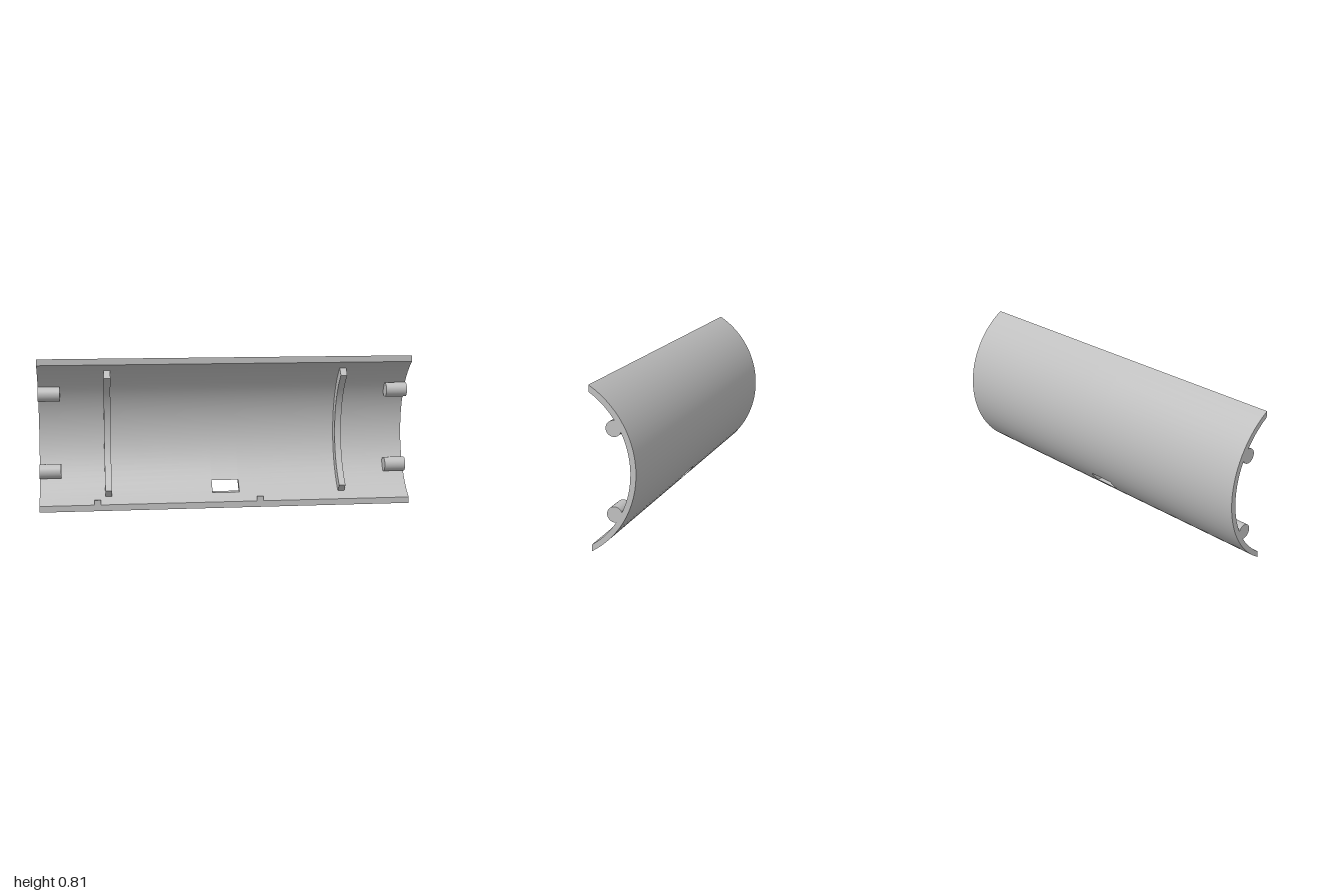
import * as THREE from 'three';
import { toCreasedNormals } from 'three/addons/utils/BufferGeometryUtils.js';

// Shared arc: its axis runs along x
const CY = 0.4055, CZ = 0.3575, FRONT_Z = 0.115;
const R_OUT = 0.4725, R_IN = 0.4445, R_RIB = 0.3945;
const HOLE = { x0: -0.075, x1: 0.071, y0: 0.073, y1: 0.131 };

// Points along one arc of the shell, with rows exactly on the window's edges
function arcRows(r) {
  const end = Math.acos((CZ - FRONT_Z) / r);
  const breaks = [-end, Math.asin((HOLE.y0 - CY) / r), Math.asin((HOLE.y1 - CY) / r), end];
  const counts = [4, 2, 22];
  const rows = [];
  counts.forEach((n, s) => {
    for (let i = 0; i < n; i++) rows.push(THREE.MathUtils.lerp(breaks[s], breaks[s + 1], i / n));
  });
  rows.push(end);
  return rows.map((a) => ({
    y: CY + r * Math.sin(a), z: CZ - r * Math.cos(a),
    n: new THREE.Vector3(0, Math.sin(a), -Math.cos(a)),
  }));
}

// Curved shell with a rectangular window cut straight through along z
function shellGeometry() {
  const pos = [], nor = [];
  const at = (x, p) => new THREE.Vector3(x, p.y, p.z);
  // Four corners in loop order; the winding follows the normals
  const quad = (p, n) => {
    const face = p[1].clone().sub(p[0]).cross(p[2].clone().sub(p[0]));
    const order = face.dot(n[0]) > 0 ? [0, 1, 2, 0, 2, 3] : [0, 2, 1, 0, 3, 2];
    for (const i of order) {
      pos.push(...p[i].toArray());
      nor.push(...n[i].toArray());
    }
  };
  const flat = (p, x, y, z) => quad(p, Array(4).fill(new THREE.Vector3(x, y, z)));

  const outer = arcRows(R_OUT), inner = arcRows(R_IN);
  const xs = [-1, HOLE.x0, HOLE.x1, 1], last = outer.length - 1;
  const holeStart = 4, holeEnd = 6;

  for (let i = 0; i < last; i++) {
    const inHole = i >= holeStart && i < holeEnd;
    // Outer and inner skins
    for (const [rows, sign] of [[outer, 1], [inner, -1]]) {
      const a = rows[i], b = rows[i + 1];
      const na = a.n.clone().multiplyScalar(sign), nb = b.n.clone().multiplyScalar(sign);
      for (let c = 0; c < 3; c++) {
        if (inHole && c === 1) continue;
        quad([at(xs[c], a), at(xs[c + 1], a), at(xs[c + 1], b), at(xs[c], b)], [na, na, nb, nb]);
      }
    }
    // End faces and the window's side walls
    const section = (x, nx) =>
      flat([at(x, outer[i]), at(x, outer[i + 1]), at(x, inner[i + 1]), at(x, inner[i])], nx, 0, 0);
    section(-1, -1);
    section(1, 1);
    if (inHole) {
      section(HOLE.x0, 1);
      section(HOLE.x1, -1);
    }
  }
  // Long front edges, then the window's sill and head
  const strip = (i, x0, x1, ny, nz) =>
    flat([at(x0, outer[i]), at(x1, outer[i]), at(x1, inner[i]), at(x0, inner[i])], 0, ny, nz);
  strip(0, -1, 1, 0, 1);
  strip(last, -1, 1, 0, 1);
  strip(holeStart, HOLE.x0, HOLE.x1, 1, 0);
  strip(holeEnd, HOLE.x0, HOLE.x1, -1, 0);

  const g = new THREE.BufferGeometry();
  g.setAttribute('position', new THREE.Float32BufferAttribute(pos, 3));
  g.setAttribute('normal', new THREE.Float32BufferAttribute(nor, 3));
  return g;
}

// Curved rib standing on the inner skin
function ribGeometry(width) {
  const half = THREE.MathUtils.degToRad(49.5), s = new THREE.Shape();
  s.absarc(-CZ, CY, R_IN + 0.007, -half, half, false);
  s.absarc(-CZ, CY, R_RIB, half, -half, true);
  s.closePath();
  const g = new THREE.ExtrudeGeometry(s, { depth: width, bevelEnabled: false, curveSegments: 28 });
  g.rotateY(Math.PI / 2);
  return toCreasedNormals(g, 0.5);
}

export function createModel() {
  const model = new THREE.Group();
  model.name = 'halfTubeCover';
  const grey = new THREE.MeshStandardMaterial({ color: 0xbfbfbf });
  grey.name = 'grey plastic';

  const add = (name, geometry, x = 0, y = 0, z = 0) => {
    const mesh = new THREE.Mesh(geometry, grey);
    mesh.name = name;
    mesh.position.set(x, y, z);
    model.add(mesh);
  };

  add('shell', shellGeometry());

  // Two ribs across the inside
  const rib = ribGeometry(0.035);
  add('rightRib', rib, -0.653);
  add('leftRib', rib, 0.614);

  // Four pegs, flush with the ends
  const pegLength = 0.115;
  const peg = new THREE.CylinderGeometry(0.039, 0.039, pegLength, 32).rotateZ(Math.PI / 2);
  for (const side of [-1, 1]) {
    for (const up of [-1, 1]) {
      add(`${up > 0 ? 'upper' : 'lower'}${side > 0 ? 'Left' : 'Right'}Peg`, peg,
        side * (1 - pegLength / 2), CY + up * 0.208, -0.006);
    }
  }

  // Small thin tabs on the lower front edge
  const tab = new THREE.BoxGeometry(0.035, 0.028, 0.004);
  add('rightTab', tab, -0.695, 0.045, FRONT_Z - 0.002);
  add('leftTab', tab, 0.177, 0.045, FRONT_Z - 0.002);

  return model;
}
